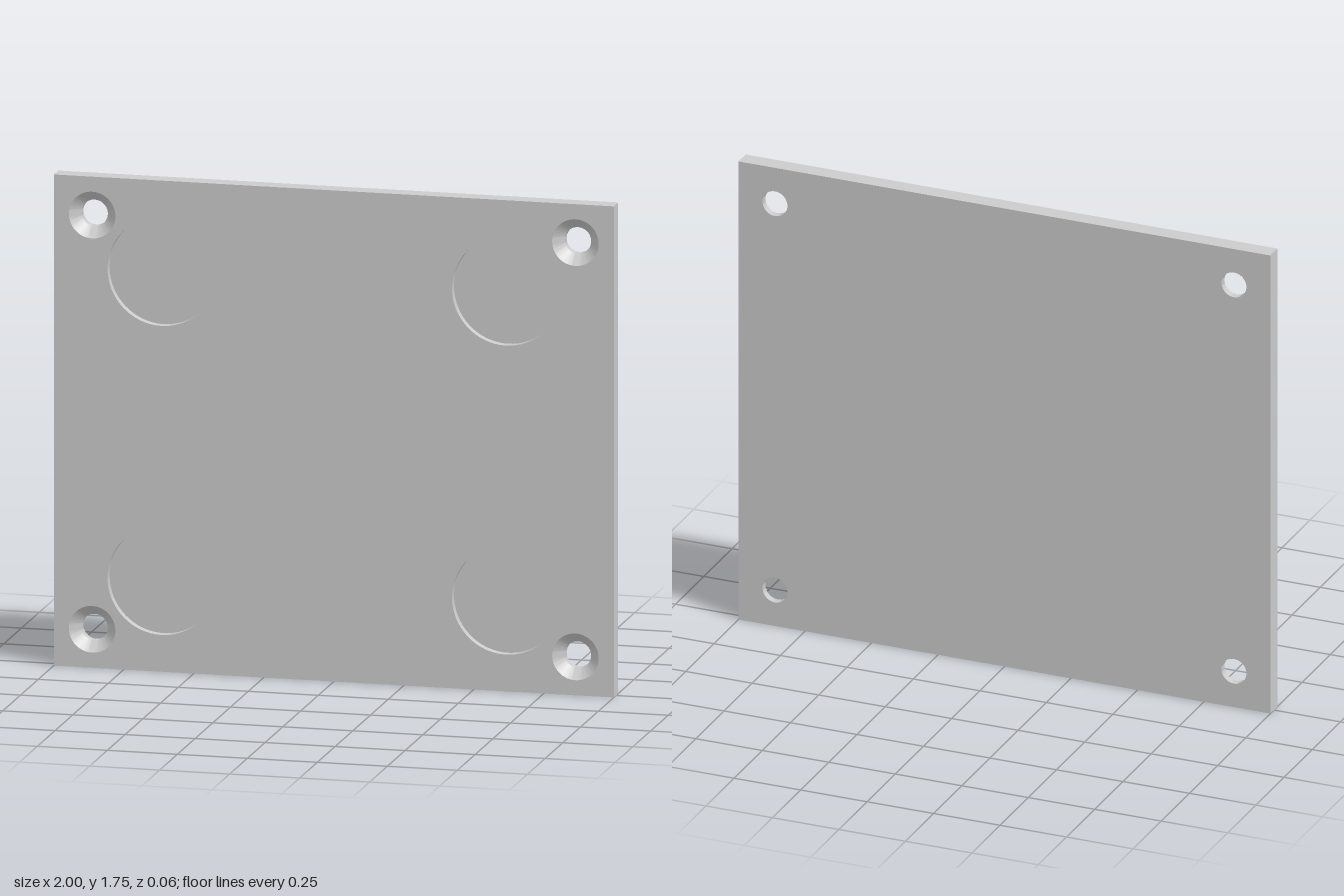
import * as THREE from 'three';
import { toCreasedNormals } from 'three/addons/utils/BufferGeometryUtils.js';

const W = 2, H = 1.745, T = 0.063, F = T / 2;
const SEG = 64;
const screw = { x: 0.863, y: 0.736, rOuter: 0.083, rInner: 0.047 };
const pocket = { x: 0.615, y: 0.549, r: 0.193, depth: 0.03 };

// the four mirrored positions of a feature around the plate centre
const corners = ({ x, y }) => [[x, y], [-x, y], [-x, -y], [x, -y]];

// rectangular face pierced by round holes given as [feature, radius]
function faceGeometry(holes) {
  const shape = new THREE.Shape();
  shape.moveTo(-W / 2, -H / 2).lineTo(W / 2, -H / 2).lineTo(W / 2, H / 2).lineTo(-W / 2, H / 2).closePath();
  for (const [feature, r] of holes) {
    for (const [x, y] of corners(feature)) {
      shape.holes.push(new THREE.Path().absarc(x, y, r, 0, Math.PI * 2, true));
    }
  }
  return new THREE.ShapeGeometry(shape, SEG / 2);
}

// recess turned about z; profile runs from the front inwards as [radius, z]
function recessGeometry(profile) {
  const points = profile.map(([r, z]) => new THREE.Vector2(r, z));
  const g = new THREE.LatheGeometry(points, SEG).rotateX(Math.PI / 2);
  return toCreasedNormals(g, 0.5);
}

export function createModel() {
  const model = new THREE.Group();
  model.name = 'mountingPlate';
  const material = new THREE.MeshStandardMaterial({ color: 0xcccccc });
  const add = (name, geometry, x = 0, y = 0, z = 0) => {
    const mesh = new THREE.Mesh(geometry, material);
    mesh.name = name;
    mesh.position.set(x, y + H / 2, z);
    model.add(mesh);
    return mesh;
  };

  // plate faces: the pockets open only to the front, the screw holes go through
  add('frontFace', faceGeometry([[screw, screw.rOuter], [pocket, pocket.r]]), 0, 0, F);
  add('backFace', faceGeometry([[screw, screw.rInner]]).rotateY(Math.PI), 0, 0, -F);

  // plate rim: a box without its front and back
  const rim = new THREE.BoxGeometry(W, H, T);
  rim.setIndex(Array.from(rim.index.array.slice(0, 24)));
  rim.clearGroups();
  add('plateRim', rim);

  // countersunk screw holes
  const sinkDepth = screw.rOuter - screw.rInner;
  const screwHole = recessGeometry([
    [screw.rOuter, F], [screw.rInner, F - sinkDepth], [screw.rInner, -F],
  ]);
  for (const [x, y] of corners(screw)) add('screwHole', screwHole, x, y);

  // shallow round pockets
  const pocketRecess = recessGeometry([
    [pocket.r, F], [pocket.r, F - pocket.depth], [0, F - pocket.depth],
  ]);
  for (const [x, y] of corners(pocket)) add('roundPocket', pocketRecess, x, y);

  return model;
}
